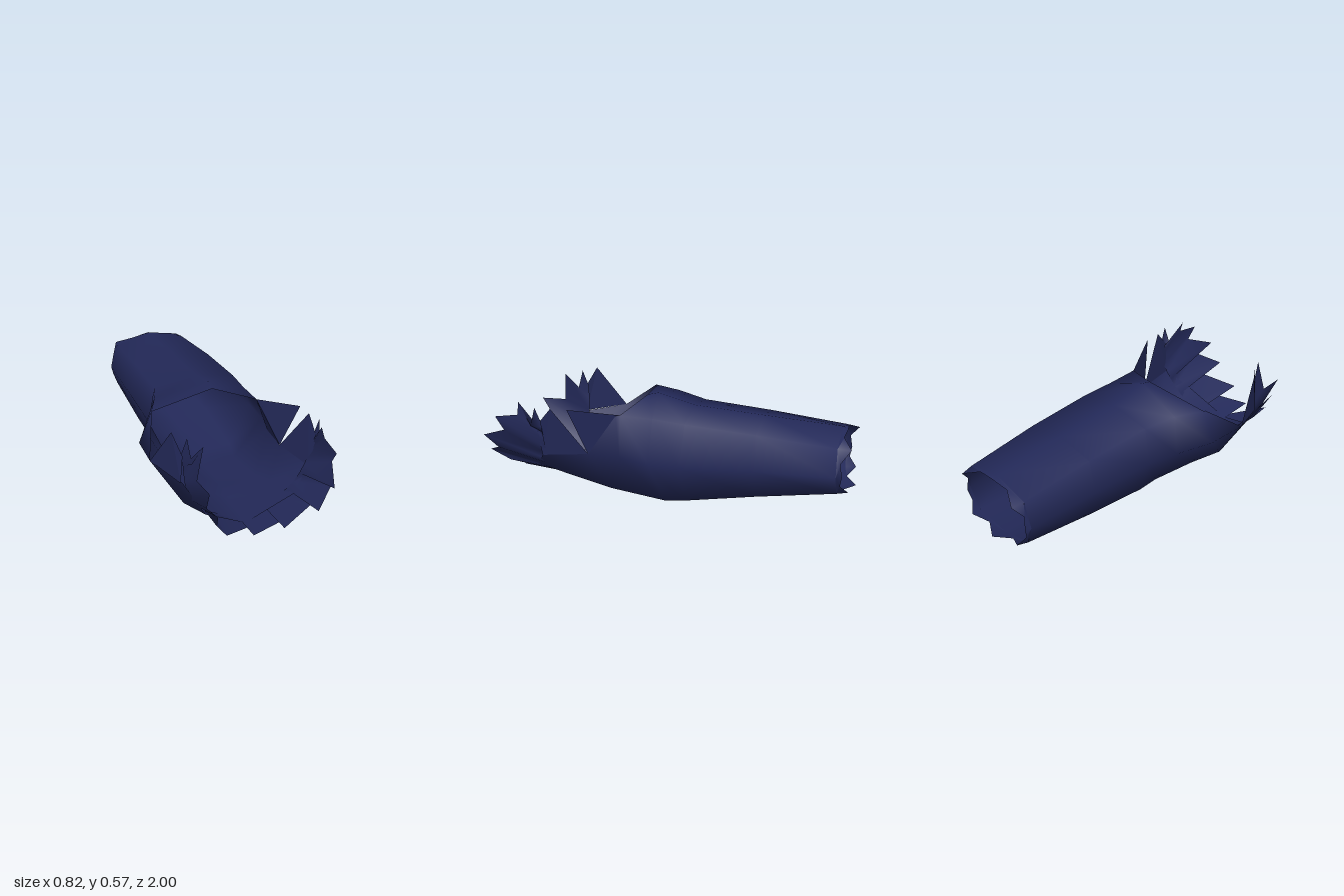
import * as THREE from 'three';

const cloth = new THREE.MeshStandardMaterial({ color: 0x232959, side: THREE.DoubleSide });

function meshFrom(name, points, index) {
  const g = new THREE.BufferGeometry();
  g.setAttribute('position', new THREE.Float32BufferAttribute(points.flat(), 3));
  g.setIndex(index);
  g.computeVertexNormals();
  const m = new THREE.Mesh(g, cloth);
  m.name = name;
  return m;
}

// Joins rows of equal length; skip(row, k) leaves a quad out
function skin(name, rows, closed, skip = () => false) {
  const n = rows[0].length, index = [];
  for (let i = 0; i < rows.length - 1; i++) {
    for (let k = 0; k < (closed ? n : n - 1); k++) {
      if (skip(i, k)) continue;
      const k2 = (k + 1) % n;
      const a = i * n + k, b = i * n + k2, c = a + n, d = b + n;
      index.push(a, c, b, b, c, d);
    }
  }
  return meshFrom(name, rows.flat(), index);
}

// Cross-section corners, from the top round the left side and underneath
const ring = (z, pts) => pts.map(([x, y], k) => [x, y, Array.isArray(z) ? z[k] : z]);

export function createModel() {
  const group = new THREE.Group();
  group.name = 'tornSleeve';

  // Main tube, its upper front cut away
  const wrist = [[0.04, 0.465], [0.25, 0.41], [0.28, 0.26], [0.21, 0.15], [0.01, 0.12], [-0.18, 0.16], [-0.215, 0.27], [-0.17, 0.41]];
  const body = [
    ring(-0.92, wrist),
    ring(-0.5, [[0.04, 0.49], [0.265, 0.45], [0.32, 0.27], [0.24, 0.1], [0.03, 0.07], [-0.18, 0.105], [-0.225, 0.27], [-0.185, 0.45]]),
    ring(-0.12, [[0.04, 0.515], [0.265, 0.475], [0.375, 0.27], [0.25, 0.04], [0.05, 0.015], [-0.17, 0.06], [-0.24, 0.27], [-0.205, 0.475]]),
    ring([0.09, 0.06, 0.05, 0, -0.02, 0.02, 0.03, 0.05],
      [[0.03, 0.565], [0.25, 0.485], [0.37, 0.27], [0.23, 0.02], [0.05, 0], [-0.15, 0.045], [-0.3, 0.29], [-0.26, 0.5]]),
    ring([0.15, 0.24, 0.22, 0.3, 0.3, 0.26, 0.2, 0.2],
      [[0.03, 0.55], [0.25, 0.49], [0.33, 0.28], [0.23, 0.06], [0.03, 0.035], [-0.2, 0.065], [-0.4, 0.33], [-0.33, 0.5]]),
    ring([0.15, 0.26, 0.4, 0.45, 0.45, 0.45, 0.42, 0.21],
      [[0.03, 0.55], [0.26, 0.49], [0.32, 0.28], [0.24, 0.1], [0, 0.055], [-0.245, 0.07], [-0.415, 0.34], [-0.33, 0.5]]),
    ring([0.15, 0.26, 0.64, 0.72, 0.74, 0.7, 0.64, 0.21],
      [[0.03, 0.55], [0.26, 0.49], [0.37, 0.27], [0.25, 0.17], [-0.02, 0.07], [-0.22, 0.14], [-0.32, 0.31], [-0.33, 0.5]]),
  ];
  group.add(skin('sleeveTube', body, true, (i, k) =>
    (i === 4 && (k === 0 || k === 7)) || (i === 5 && (k < 2 || k > 5))));

  // Wavy hem at the narrow end, longest at the corners and curling slightly inward
  const hemPts = [], hemIndex = [];
  const hemDepth = [0.95, 0.99, 0.95, 0.98, 1, 0.98, 0.95, 0.99];
  wrist.forEach(([x, y], k) => {
    const [x2, y2] = wrist[(k + 1) % 8];
    hemPts.push([x, y, -0.92], [x2, y2, -0.92],
      [0.03 + (x - 0.03) * 0.94, 0.29 + (y - 0.29) * 0.94, -hemDepth[k]],
      [(x + x2) / 2, (y + y2) / 2, -0.94]);
    const o = k * 4, prevMid = ((k + 7) % 8) * 4 + 3;
    hemIndex.push(o, o + 3, o + 2, o, o + 2, prevMid, o, o + 1, o + 3);
  });
  group.add(meshFrom('wavyHem', hemPts, hemIndex));

  // Torn spikes on the flanks of the opening
  const spikes = [
    [[0.25, 0.49, 0.24], [0.33, 0.28, 0.22], [0.32, 0.28, 0.4]],
    [[0.25, 0.49, 0.24], [0.32, 0.28, 0.4], [0.385, 0.54, 0.49]],
    [[0.32, 0.28, 0.4], [0.37, 0.27, 0.64], [0.39, 0.54, 0.58]],
    [[0.37, 0.27, 0.64], [0.4, 0.44, 0.66], [0.39, 0.54, 0.58]],
    [[-0.415, 0.34, 0.42], [-0.355, 0.57, 0.58], [-0.33, 0.31, 0.64]],
    [[-0.33, 0.31, 0.64], [-0.355, 0.57, 0.58], [-0.32, 0.46, 0.64]],
    [[-0.4, 0.33, 0.2], [-0.33, 0.5, 0.2], [-0.415, 0.34, 0.42]],
  ];
  group.add(meshFrom('tornSpikes', spikes.flat(), spikes.flat().map((_, i) => i)));

  // U-shaped cuff at the wide end: a smooth base edge and a jagged front edge
  const v = (p) => new THREE.Vector3(...p);
  const base = new THREE.CatmullRomCurve3([[0.405, 0.47, 0.63], [0.385, 0.34, 0.62], [0.26, 0.165, 0.64],
    [-0.04, 0.055, 0.61], [-0.26, 0.17, 0.61], [-0.32, 0.46, 0.62]].map(v));
  const jagged = [
    [0.41, 0.545, 0.66], [0.4, 0.44, 0.69], [0.365, 0.555, 0.77], [0.385, 0.49, 0.77], [0.385, 0.47, 0.9],
    [0.39, 0.4, 0.85], [0.33, 0.34, 1], [0.365, 0.29, 0.9], [0.25, 0.23, 1], [0.28, 0.19, 0.87],
    [0.09, 0.145, 0.96], [0.12, 0.11, 0.85], [-0.05, 0.105, 0.91], [-0.03, 0.075, 0.79], [-0.195, 0.14, 0.915],
    [-0.2, 0.125, 0.8], [-0.24, 0.25, 0.91], [-0.255, 0.24, 0.8], [-0.28, 0.38, 0.9], [-0.29, 0.38, 0.76],
    [-0.25, 0.55, 0.74], [-0.285, 0.43, 0.68], [-0.3, 0.56, 0.65],
  ];
  const baseRow = jagged.map((_, i) => base.getPoint(i / (jagged.length - 1)).toArray());
  group.add(skin('jaggedCuff', [baseRow, jagged], false));

  return group;
}
